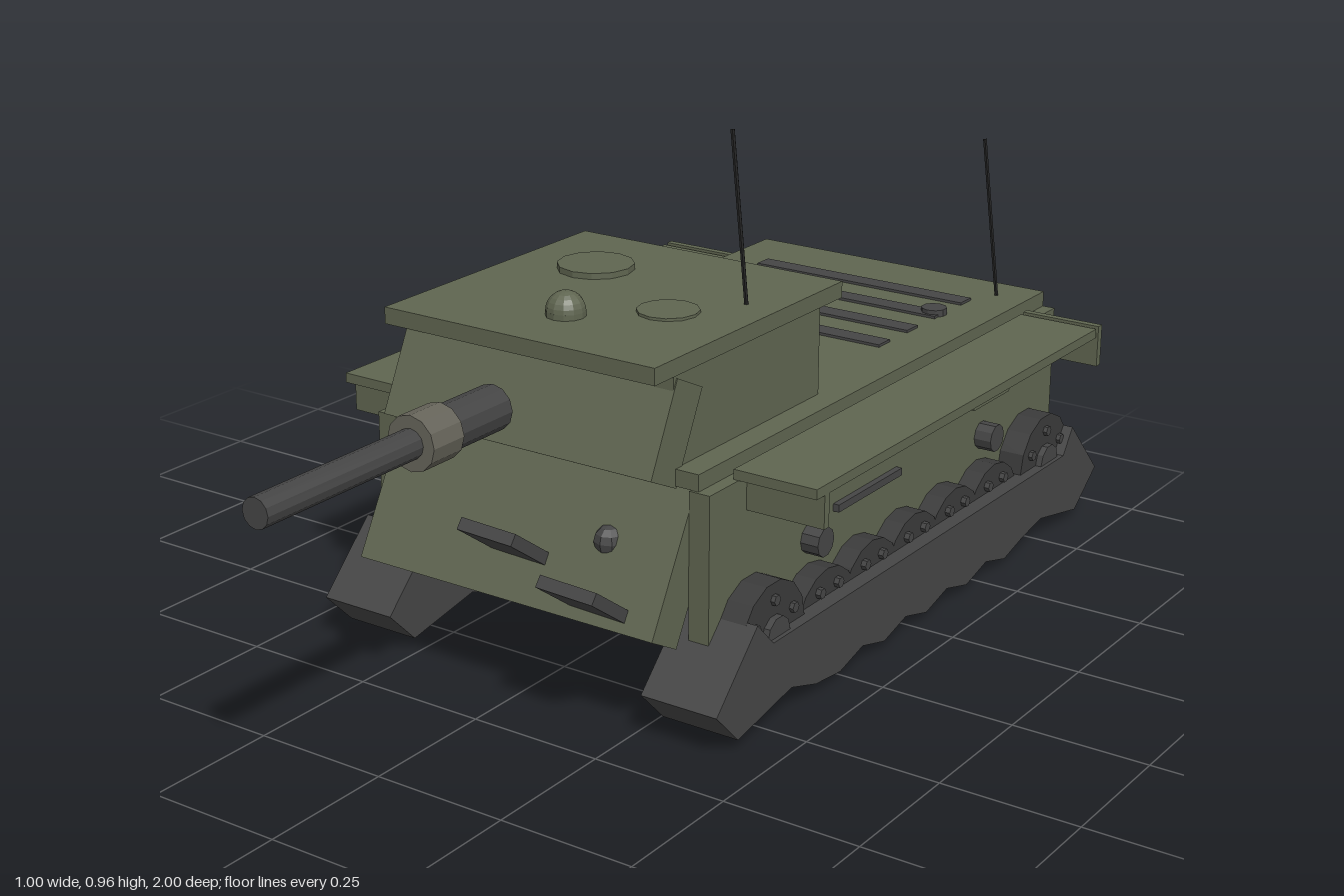
import * as THREE from 'three';

const mat = (color) => new THREE.MeshStandardMaterial({ color, flatShading: true });
const green = mat(0x5f6550), dark = mat(0x454545), wheelGrey = mat(0x3a3a3a);
const steel = mat(0x66645a), black = mat(0x242424);

export function createModel() {
  const model = new THREE.Group();

  const add = (name, geometry, material, x, y, z, rx = 0, ry = 0, rz = 0) => {
    const mesh = new THREE.Mesh(geometry, material);
    mesh.name = name;
    mesh.position.set(x, y, z);
    mesh.rotation.set(rx, ry, rz);
    model.add(mesh);
    return mesh;
  };
  // box given by its extents
  const box = (name, m, x0, x1, y0, y1, z0, z1) =>
    add(name, new THREE.BoxGeometry(x1 - x0, y1 - y0, z1 - z0), m,
      (x0 + x1) / 2, (y0 + y1) / 2, (z0 + z1) / 2);
  // box mirrored to both sides
  const pair = (name, m, x0, x1, ...rest) => {
    box(name + 'Left', m, x0, x1, ...rest);
    box(name + 'Right', m, -x1, -x0, ...rest);
  };
  const drumX = (name, m, r, x0, x1, y, z, sides = 12) =>
    add(name, new THREE.CylinderGeometry(r, r, x1 - x0, sides), m, (x0 + x1) / 2, y, z, 0, 0, Math.PI / 2);
  const drumY = (name, m, r, x, y0, y1, z, sides = 12) =>
    add(name, new THREE.CylinderGeometry(r, r, y1 - y0, sides), m, x, (y0 + y1) / 2, z);
  const drumZ = (name, m, r, x, y, z0, z1, sides = 12) =>
    add(name, new THREE.CylinderGeometry(r, r, z1 - z0, sides), m, x, y, (z0 + z1) / 2, Math.PI / 2);

  // hull of plates, open underneath
  pair('hullSide', green, 0.31, 0.35, 0.15, 0.425, -0.905, 0.32);
  box('hullRoof', green, -0.325, 0.325, 0.425, 0.455, -0.905, 0.315);
  add('glacisPlate', new THREE.BoxGeometry(0.62, 0.256, 0.08), green, 0, 0.288, 0.329, -0.5);
  add('rearPlate', new THREE.BoxGeometry(0.64, 0.27, 0.05), green, 0, 0.293, -0.9, 0.147);

  // fenders with end flaps
  pair('fender', green, 0.34, 0.5, 0.425, 0.443, -0.78, 0.235);
  pair('fenderFrontFlap', green, 0.34, 0.5, 0.365, 0.44, 0.195, 0.21);
  pair('fenderRearFlap', green, 0.34, 0.5, 0.365, 0.445, -0.805, -0.79);

  // side fittings
  pair('stowageBox', green, 0.345, 0.388, 0.333, 0.382, -0.65, -0.51);
  pair('towBar', dark, 0.345, 0.362, 0.27, 0.284, -0.29, -0.07);

  // turret: two walls, sloped front and overhanging roof
  pair('turretWall', green, 0.24, 0.278, 0.45, 0.62, -0.13, 0.32);
  add('turretFront', new THREE.BoxGeometry(0.56, 0.172, 0.08), green, 0, 0.515, 0.312, -0.45);
  box('turretRoof', green, -0.28, 0.28, 0.615, 0.645, -0.2, 0.375);
  drumY('commanderHatch', green, 0.07, -0.12, 0.64, 0.656, -0.015);
  drumY('loaderHatch', green, 0.055, 0.13, 0.64, 0.65, 0.12);
  add('ventDome', new THREE.SphereGeometry(0.035, 12, 6, 0, Math.PI * 2, 0, Math.PI / 2), green, 0, 0.654, 0.235);
  drumY('ventBase', green, 0.035, 0, 0.643, 0.655, 0.235);

  // gun
  drumZ('gunRearSleeve', dark, 0.04, 0, 0.54, 0.435, 0.575);
  drumZ('gunCollar', steel, 0.048, 0, 0.54, 0.57, 0.645);
  drumZ('gunBarrel', dark, 0.026, 0, 0.54, 0.6, 1);

  // engine grilles and caps
  for (let i = 0; i < 4; i++) {
    const z = -0.75 + i * 0.105;
    box('engineGrille', dark, -0.235, 0.235, 0.45, 0.46, z - 0.02, z + 0.02);
  }
  for (const x of [-0.217, 0.217]) drumY('engineCap', dark, 0.025, x, 0.45, 0.468, -0.655, 10);

  // spare links and lamp on the glacis
  add('spareLinkUpper', new THREE.BoxGeometry(0.115, 0.022, 0.12), dark, 0.01, 0.3, 0.425, -0.62, 0, -0.03);
  add('spareLinkLower', new THREE.BoxGeometry(0.115, 0.022, 0.12), dark, 0.192, 0.25, 0.45, -0.62, 0, -0.03);
  add('headlamp', new THREE.SphereGeometry(0.027, 8, 6), dark, 0.17, 0.315, 0.348);

  // exhausts and rear box
  for (const s of [-1, 1]) {
    drumX('muffler', dark, 0.028, s * 0.178 - 0.097, s * 0.178 + 0.097, 0.322, -0.968, 10);
    drumY('exhaustPipe', dark, 0.014, s * 0.262, 0.322, 0.413, -0.965, 8);
  }
  box('rearBox', green, -0.22, 0, 0.195, 0.29, -0.985, -0.92);

  // aerials
  const aerial = (a, b) => {
    const path = new THREE.LineCurve3(new THREE.Vector3(...a), new THREE.Vector3(...b));
    add('aerial', new THREE.TubeGeometry(path, 1, 0.004, 6), black, 0, 0, 0);
  };
  aerial([0.215, 0.64, 0.008], [0.2, 0.955, 0.035]);
  aerial([0.26, 0.45, -0.83], [0.237, 0.775, -0.796]);

  // track side profile as (z, y), with a wavy underside between the wheels
  const roadWheels = [0.01, -0.1425, -0.295, -0.4475, -0.6];
  const profile = [[-0.9, 0.015], [-0.985, 0.08], [-0.87, 0.2], [-0.835, 0.15],
    [0.23, 0.15], [0.28, 0.2], [0.4, 0.08], [0.335, 0.015], [0.17, 0.045], [0.09, 0.02]];
  for (const z of roadWheels) profile.push([z, 0.012], [z - 0.076, 0.032]);
  profile.push([-0.75, 0.045]);
  const trackShape = new THREE.Shape(profile.map(([z, y]) => new THREE.Vector2(-z, y)));

  for (const s of [-1, 1]) {
    const track = new THREE.ExtrudeGeometry(trackShape, { depth: 0.15, bevelEnabled: false });
    add('track', track, dark, s * 0.345 - 0.075, 0, 0, 0, Math.PI / 2);

    // drum spanning inner and outer x on this side
    const drum = (name, m, r, a, b, y, z, n) =>
      drumX(name, m, r, Math.min(s * a, s * b), Math.max(s * a, s * b), y, z, n);
    for (const z of roadWheels) {
      drum('roadWheel', wheelGrey, 0.1, 0.29, 0.39, 0.1, z, 16);
      for (const k of [-1, 1]) drum('wheelBolt', dark, 0.01, 0.28, 0.4, 0.165, z + k * 0.03, 6);
    }
    // drive and idler wheels with hub and bolts
    for (const z of [0.2, -0.79]) {
      drum('endWheel', wheelGrey, 0.1, 0.275, 0.4, 0.145, z, 14);
      drum('endHub', dark, 0.035, 0.268, 0.412, 0.15, z, 10);
      for (let i = 0; i < 6; i++) {
        const a = (i + 0.5) * Math.PI / 3;
        drum('endWheelBolt', dark, 0.01, 0.27, 0.408, 0.145 + 0.068 * Math.sin(a), z + 0.068 * Math.cos(a), 6);
      }
    }
    for (const z of [0.01, -0.615]) drum('returnRoller', dark, 0.027, 0.3, 0.385, 0.247, z, 10);
  }
  return model;
}
